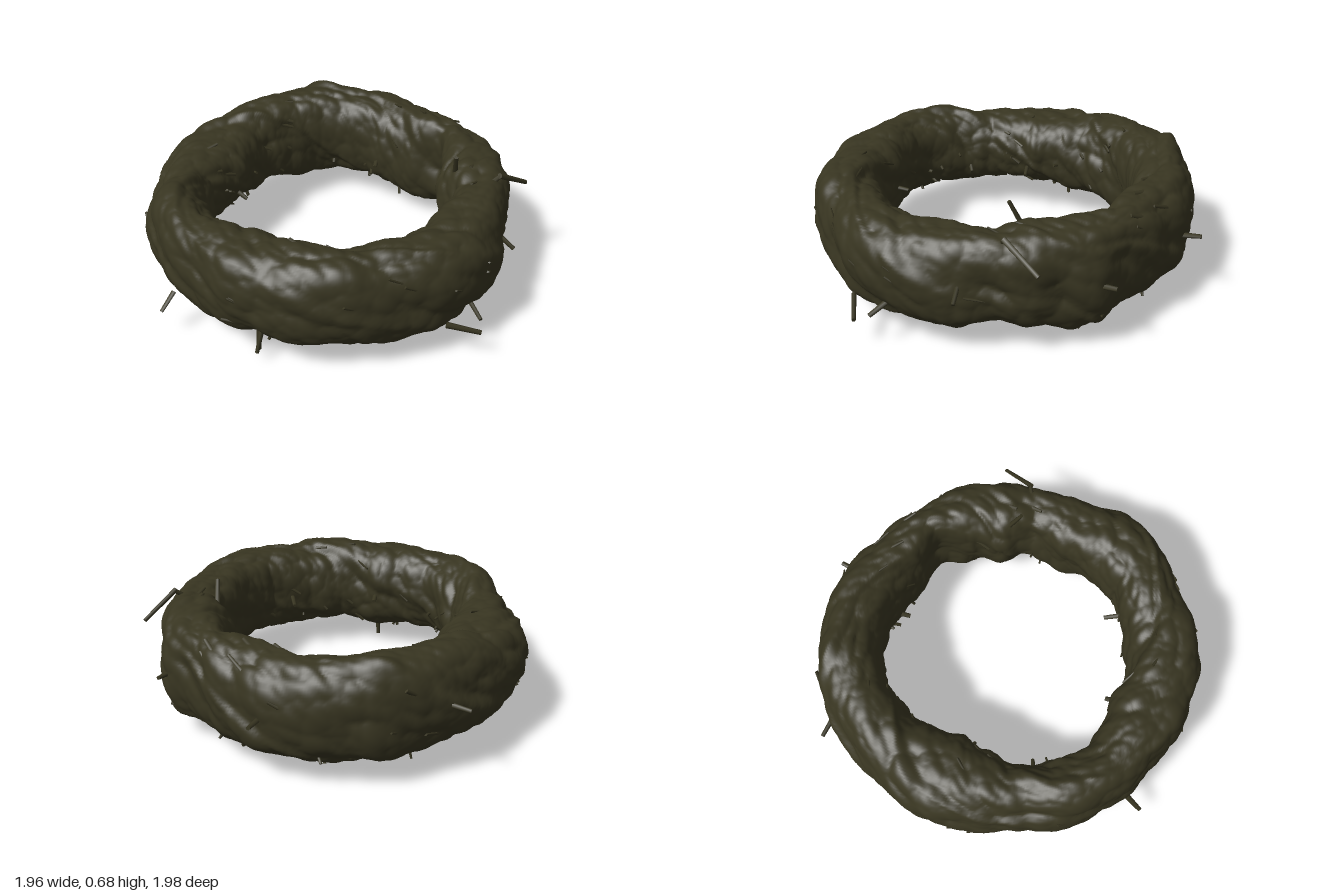
import * as THREE from 'three';

const TAU = Math.PI * 2;

// Ring outline sampled every 15 degrees, from +x towards +z
const OUTER = [.92, .95, .98, .98, .96, .98, .99, .99, .97, .97, .97, .95, .97, 1, 1, .99, 1, 1, .99, .99, .96, .93, .98, .94];
const INNER = [.60, .58, .61, .60, .60, .59, .60, .57, .61, .65, .62, .59, .56, .52, .55, .60, .63, .66, .64, .61, .61, .67, .60, .54];
const TOP = [.59, .60, .61, .61, .61, .61, .61, .62, .62, .61, .60, .58, .57, .59, .61, .63, .65, .66, .65, .63, .63, .63, .63, .62];
const BOTTOM = [.15, .07, .11, .12, .11, .11, .12, .11, .13, .13, .15, .15, .15, .15, .13, .13, .12, .11, .10, .10, .08, .11, .07, .12];
// Squareness of the cross-section, every 90 degrees
const SQUARE = [2.7, 2.4, 2, 2.4];

const mod = (v, n) => ((v % n) + n) % n;
const ease = (t) => t * t * (3 - 2 * t);

function sample(table, a) {
  const f = mod(a / TAU, 1) * table.length;
  const i = Math.floor(f);
  return THREE.MathUtils.lerp(table[i % table.length], table[(i + 1) % table.length], ease(f - i));
}

function seeded(seed) {
  return () => {
    seed = (seed * 1664525 + 1013904223) >>> 0;
    return seed / 4294967296;
  };
}

function hash(i, j, k) {
  const s = Math.sin(i * 127.1 + j * 311.7 + k * 74.7) * 43758.5453;
  return s - Math.floor(s);
}

// Value noise that wraps both round the strand (u) and round the ring (v)
function noise(u, v, nu, nv, k) {
  const x = mod(u / TAU, 1) * nu, y = mod(v / TAU, 1) * nv;
  const i = Math.floor(x), j = Math.floor(y);
  const fx = ease(x - i), fy = ease(y - j);
  const h = (p, q) => hash(p % nu, q % nv, k);
  const low = h(i, j) * (1 - fx) + h(i + 1, j) * fx;
  const high = h(i, j + 1) * (1 - fx) + h(i + 1, j + 1) * fx;
  return (low * (1 - fy) + high * fy) * 2 - 1;
}

// Overlapping tilted scales of bark, meeting in sharp creases
function scales(u, v, nu, nv, k) {
  const x = mod(u / TAU, 1) * nu, y = mod(v / TAU, 1) * nv;
  let best = -2;
  for (let i = Math.floor(x) - 1; i <= Math.floor(x) + 1; i++) {
    for (let j = Math.floor(y) - 1; j <= Math.floor(y) + 1; j++) {
      const p = mod(i, nu), q = mod(j, nv);
      const dx = x - i - hash(p, q, k), dy = y - j - hash(p, q, k + 1);
      const tilt = (hash(p, q, k + 2) - 0.2) * dx + (hash(p, q, k + 3) - 0.5) * dy;
      best = Math.max(best, 0.7 * hash(p, q, k + 4) + tilt - dx * dx - dy * dy);
    }
  }
  return best - 0.35;
}

function relief(a, phi) {
  const u = phi - 2 * a;
  const warp = 0.6 * noise(u, a, 5, 14, 1);
  const saw = mod((3 * (u + warp) + a) / TAU, 1);
  const strand = saw < 0.88 ? saw / 0.88 : (1 - saw) / 0.12;
  const bend = u + 0.22 * noise(u, a, 9, 30, 5);
  return -0.008
    + 0.020 * (strand - 0.55)
    + 0.034 * scales(bend, a, 6, 15, 10)
    + 0.020 * scales(bend, a, 12, 36, 20)
    + 0.008 * scales(u, a, 26, 90, 30);
}

function surfacePoint(a, phi, lift = 0) {
  const ro = sample(OUTER, a), ri = sample(INNER, a);
  const yt = sample(TOP, a), yb = sample(BOTTOM, a);
  const c = Math.cos(phi), s = Math.sin(phi);
  const n = sample(SQUARE, a);
  const q = Math.pow(Math.pow(Math.abs(c), n) + Math.pow(Math.abs(s), n), -1 / n);
  const d = relief(a, phi) + lift;
  const r = (ro + ri) / 2 + c * (q * (ro - ri) / 2 + d);
  const y = (yt + yb) / 2 + s * (q * (yt - yb) / 2 + d);
  return new THREE.Vector3(Math.cos(a) * r, y, Math.sin(a) * r);
}

function ringGeometry(around, section) {
  const positions = [], index = [];
  for (let i = 0; i < around; i++) {
    for (let j = 0; j < section; j++) {
      positions.push(...surfacePoint(i / around * TAU, j / section * TAU).toArray());
      const i2 = (i + 1) % around, j2 = (j + 1) % section;
      const p = i * section + j, up = i * section + j2;
      const next = i2 * section + j, both = i2 * section + j2;
      index.push(p, up, next, next, up, both);
    }
  }
  const g = new THREE.BufferGeometry();
  g.setAttribute('position', new THREE.Float32BufferAttribute(positions, 3));
  g.setIndex(index);
  g.computeVertexNormals();
  return g;
}

export function createModel() {
  const group = new THREE.Group();
  group.name = 'twistedWreath';
  const bark = new THREE.MeshStandardMaterial({ color: 0x383521 });
  bark.name = 'dark olive bark';

  const ring = new THREE.Mesh(ringGeometry(460, 130), bark);
  ring.name = 'twistedRing';
  group.add(ring);

  // A broken stick running between two points
  const stickShape = new THREE.CylinderGeometry(0.75, 1, 1, 6);
  const up = new THREE.Vector3(0, 1, 0);
  function stick(name, from, to, radius, flat = 1) {
    const dir = to.clone().sub(from);
    const m = new THREE.Mesh(stickShape, bark);
    m.name = name;
    m.position.copy(from).addScaledVector(dir, 0.5);
    m.scale.set(radius, dir.length(), radius * flat);
    m.quaternion.setFromUnitVectors(up, dir.normalize());
    group.add(m);
  }

  // Longer twigs that stick out of the ring
  const twigs = [
    [.62, .54, -.14, .625, .68, -.07],
    [.76, .53, -.02, .86, .61, -.07], [.85, .61, -.06, .98, .50, -.22],
    [-.16, .18, .80, -.17, .005, .80], [-.13, .18, .86, -.15, .06, .89],
    [-.52, .42, -.80, -.65, .40, -.84], [.29, .35, -.90, .32, .36, -1],
    [.76, .24, .45, .85, .18, .56], [.70, .20, .66, .86, .16, .63],
    [.84, .42, .13, .96, .33, .155], [-.61, .22, .73, -.65, .15, .81],
    [-.80, .22, .25, -.81, .12, .26], [.78, .35, -.47, .83, .36, -.57],
    [.34, .35, .60, .30, .32, .45], [-.16, .35, .64, -.15, .33, .53],
    [.72, .22, .06, .72, .13, .07], [.70, .22, -.06, .70, .12, -.06],
    [-.72, .22, -.24, -.72, .12, -.26], [.12, .3, -.68, .12, .28, -.58],
    [-.55, .3, -.10, -.50, .27, -.09], [-.60, .3, .24, -.53, .27, .22],
  ];
  for (const t of twigs) {
    stick('twig', new THREE.Vector3(...t.slice(0, 3)), new THREE.Vector3(...t.slice(3)), 0.016, 0.8);
  }

  // Bark slivers lying along the strands
  const rand = seeded(11);
  for (let i = 0; i < 60; i++) {
    const a = rand() * TAU, phi = rand() * TAU;
    const da = 0.07 + rand() * 0.08;
    stick('barkSliver', surfacePoint(a, phi, -0.015),
      surfacePoint(a + da, phi + 2 * da, 0.003 + rand() * 0.008), 0.008 + rand() * 0.007, 0.6);
  }

  // Short stubs, mostly on the underside and inner wall
  for (let i = 0; i < 34; i++) {
    const a = rand() * TAU, phi = Math.PI * (0.95 + rand() * 0.85);
    stick('stub', surfacePoint(a, phi, -0.04),
      surfacePoint(a + (rand() - 0.5) * 0.06, phi + (rand() - 0.5) * 0.3, 0.012 + rand() * 0.02),
      0.008 + rand() * 0.005, 0.8);
  }
  return group;
}
